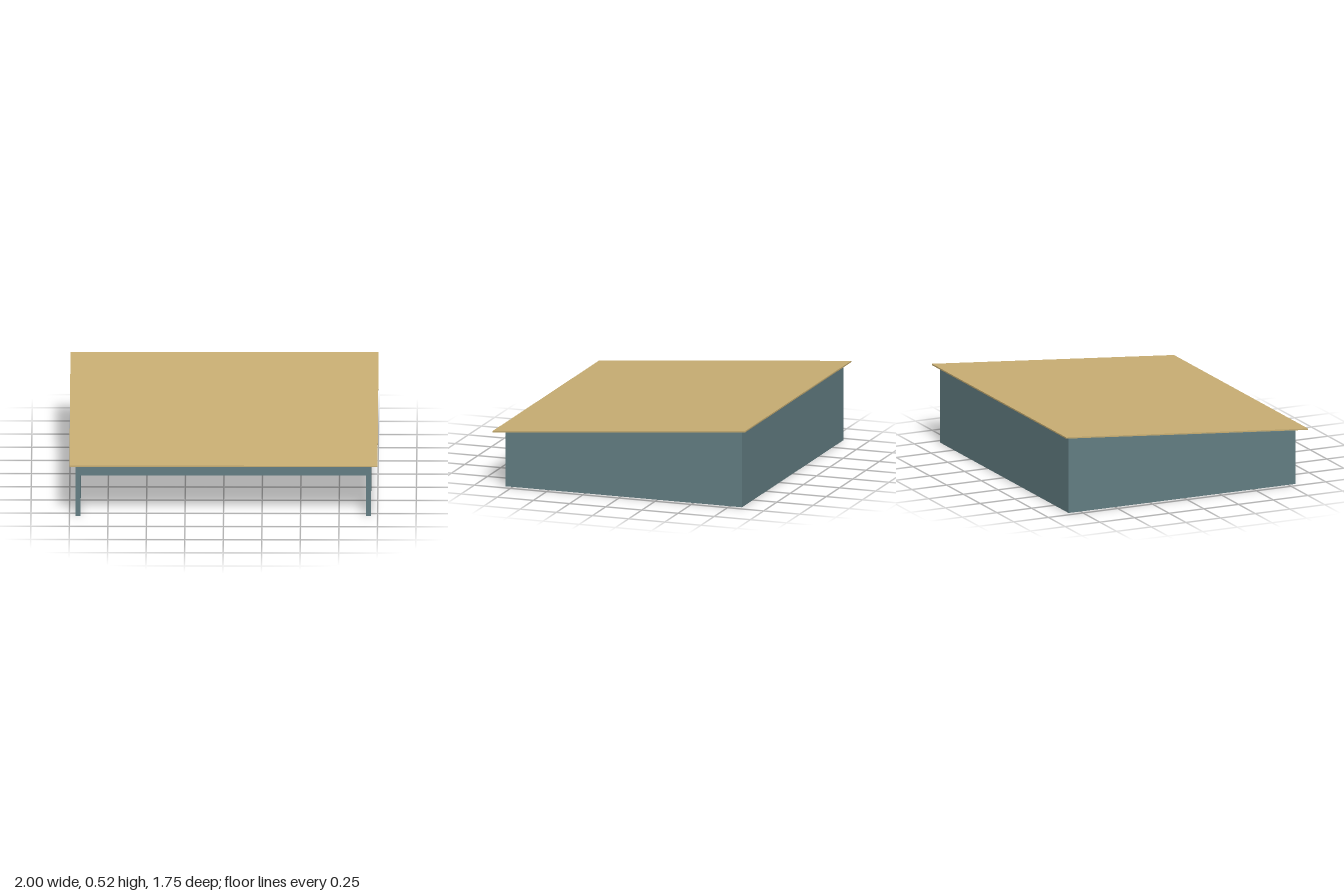
import * as THREE from 'three';

const SLOPE = 0.088;                    // roof pitch, rising to the back
const FRONT = 0.8, BACK = -0.835;       // outer faces of the frame
const RIGHT = -0.96, LEFT = 0.957, T = 0.032;

// Height of the sloping wall tops at a given z
const topAt = (z) => 0.43 - SLOPE * (z + 0.018);

// Extrudes a [z, y] outline along x from x0 to x1
function profile(name, points, x0, x1, material) {
  const shape = new THREE.Shape(points.map(([z, y]) => new THREE.Vector2(z, y)));
  const geometry = new THREE.ExtrudeGeometry(shape, { depth: x1 - x0, bevelEnabled: false });
  geometry.rotateY(-Math.PI / 2).translate(x1, 0, 0);
  const mesh = new THREE.Mesh(geometry, material);
  mesh.name = name;
  return mesh;
}

// Board between z0 and z1 with its top cut to the pitch
const board = (name, z0, z1, bottom, x0, x1, material) =>
  profile(name, [[z0, bottom], [z1, bottom], [z1, topAt(z1)], [z0, topAt(z0)]], x0, x1, material);

export function createModel() {
  const model = new THREE.Group();
  model.name = 'leanToShelter';
  const wall = new THREE.MeshStandardMaterial({ color: 0x637e83 });
  wall.name = 'slateBlueWall';
  const sheet = new THREE.MeshStandardMaterial({ color: 0xc8ae73 });
  sheet.name = 'sandRoof';
  const timber = new THREE.MeshStandardMaterial({ color: 0x7b9c6c });
  timber.name = 'greenBeam';

  // Side walls
  model.add(board('rightWall', BACK, FRONT, 0, RIGHT, RIGHT + T, wall));
  model.add(board('leftWall', BACK, FRONT, 0, LEFT - T, LEFT, wall));

  // Closed back and the header over the open front
  const inner = [RIGHT + T, LEFT - T];
  model.add(board('backWall', BACK, BACK + T, 0, ...inner, wall));
  model.add(board('frontHeader', FRONT - T, FRONT, 0.28, ...inner, wall));

  // Beam under the middle of the roof
  model.add(board('middleBeam', -0.034, -0.002, 0.345, ...inner, timber));

  // Thin roof sheet, just clear of the walls
  const D = 0.873, lo = 0.365, hi = 0.515, t = 0.009;
  model.add(profile('roof', [[-D, hi], [D, lo], [D, lo + t], [-D, hi + t]], -1, 1, sheet));
  return model;
}
